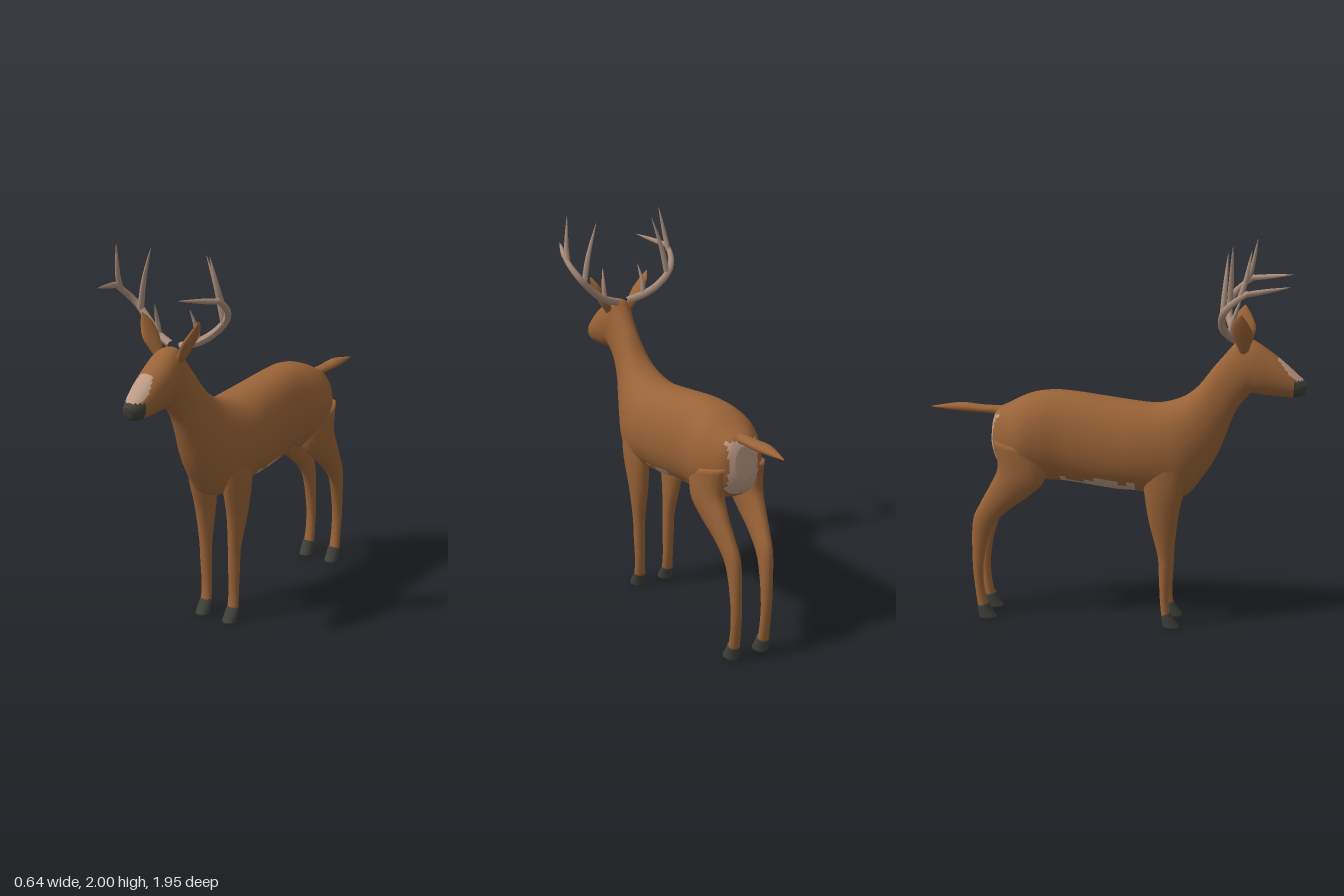
import * as THREE from 'three';

const mat = (name, color) => {
  const m = new THREE.MeshStandardMaterial({ color });
  m.name = name;
  return m;
};

// Catmull-Rom blend of four scalars
const blend = (a, b, c, d, t) =>
  b + 0.5 * t * (c - a + t * (2 * a - 5 * b + 4 * c - d + t * (3 * (b - c) + d - a)));

// Smooth skin through rings. Ring: [z1, y1, z2, y2, halfWidth, centreX],
// where 1 and 2 are opposite edges (top/bottom or front/back).
// pick(x, y, z) gives the material index of a face.
function loft(rings, { sides = 16, steps = 4, power = 1, pick = () => 0, count = 1 } = {}) {
  const rows = [];
  const ring = (i) => rings[Math.max(0, Math.min(rings.length - 1, i))];
  for (let i = 0; i < rings.length - 1; i++) {
    for (let k = 0; k < steps; k++) {
      rows.push(rings[0].map((_, c) =>
        blend(ring(i - 1)[c], ring(i)[c], ring(i + 1)[c], ring(i + 2)[c], k / steps)));
    }
  }
  rows.push(rings[rings.length - 1]);

  const pos = [];
  for (const [z1, y1, z2, y2, w, cx = 0] of rows) {
    for (let j = 0; j < sides; j++) {
      const a = (j / sides) * Math.PI * 2, s = Math.sin(a), c = Math.cos(a);
      const x = cx + w * Math.sign(s) * Math.pow(Math.abs(s), power);
      pos.push(x, (y1 + y2) / 2 + c * (y1 - y2) / 2, (z1 + z2) / 2 + c * (z1 - z2) / 2);
    }
  }
  const ends = [rows[0], rows[rows.length - 1]].map(([z1, y1, z2, y2, , cx = 0]) => {
    pos.push(cx, (y1 + y2) / 2, (z1 + z2) / 2);
    return pos.length / 3 - 1;
  });

  const faces = Array.from({ length: count }, () => []);
  const add = (...ids) => {
    const mid = [0, 1, 2].map((k) => ids.reduce((sum, id) => sum + pos[id * 3 + k], 0) / ids.length);
    const out = faces[pick(...mid)];
    out.push(ids[0], ids[1], ids[2]);
    if (ids.length === 4) out.push(ids[0], ids[2], ids[3]);
  };
  const last = (rows.length - 1) * sides;
  for (let j = 0; j < sides; j++) {
    const n = (j + 1) % sides;
    for (let i = 0; i < last; i += sides) add(i + j, i + sides + j, i + sides + n, i + n);
    add(ends[0], j, n);
    add(ends[1], last + n, last + j);
  }

  const geo = new THREE.BufferGeometry();
  geo.setAttribute('position', new THREE.Float32BufferAttribute(pos, 3));
  geo.setIndex(faces.flat());
  let start = 0;
  faces.forEach((f, i) => { geo.addGroup(start, f.length, i); start += f.length; });
  geo.computeVertexNormals();
  return geo;
}

// Round horn along a curve, tapering from r0 to r1
function horn(points, r0, r1) {
  const curve = new THREE.CatmullRomCurve3(points.map((p) => new THREE.Vector3(...p)));
  const segs = points.length > 2 ? 16 : 4, sides = 7;
  const geo = new THREE.TubeGeometry(curve, segs, 1, sides, false);
  const p = geo.attributes.position, v = new THREE.Vector3();
  for (let i = 0; i < p.count; i++) {
    const t = Math.floor(i / (sides + 1)) / segs;
    const c = curve.getPointAt(t);
    v.fromBufferAttribute(p, i).sub(c).multiplyScalar(r0 + (r1 - r0) * t * t).add(c);
    p.setXYZ(i, v.x, v.y, v.z);
  }
  geo.computeVertexNormals();
  return geo;
}

export function createModel() {
  const brown = mat('brown coat', 0x996337);
  const pale = mat('pale fur', 0xbb9a84);
  const dark = mat('dark hoof and nose', 0x3f403a);
  const bone = mat('antler bone', 0xa88c79);

  const model = new THREE.Group();
  const add = (name, geo, material, parent = model) => {
    const m = new THREE.Mesh(geo, material);
    m.name = name;
    parent.add(m);
  };

  // Trunk, neck and head, from rump to nose
  const coat = (x, y, z) => {
    if (z > 0.905 && y < 1.325) return 2;
    if (z > 0.8 && (x / 0.054) ** 2 + ((y - 1.36) / 0.08) ** 2 < 1) return 1;
    if (z < -0.595 && y < 1.11 && Math.abs(x) < 0.085) return 1;
    if (z > -0.26 && z < 0.115 && y < 0.795 - 0.02 * Math.sin(z * 25)) return 1;
    return 0;
  };
  add('body', loft([
    [-0.635, 1.08, -0.645, 0.92, 0.05],
    [-0.61, 1.13, -0.615, 0.85, 0.105],
    [-0.55, 1.16, -0.55, 0.80, 0.15],
    [-0.47, 1.20, -0.46, 0.78, 0.183],
    [-0.38, 1.225, -0.36, 0.76, 0.18],
    [-0.25, 1.23, -0.24, 0.755, 0.166],
    [0, 1.20, 0, 0.725, 0.178],
    [0.12, 1.185, 0.12, 0.72, 0.185],
    [0.22, 1.18, 0.24, 0.70, 0.178],
    [0.31, 1.20, 0.37, 0.70, 0.16],
    [0.38, 1.235, 0.45, 0.79, 0.13],
    [0.44, 1.29, 0.52, 0.90, 0.10],
    [0.50, 1.37, 0.57, 1.02, 0.077],
    [0.55, 1.43, 0.615, 1.14, 0.07],
    [0.60, 1.49, 0.66, 1.21, 0.074],
    [0.635, 1.525, 0.70, 1.25, 0.083],
    [0.70, 1.52, 0.74, 1.245, 0.09],
    [0.78, 1.47, 0.80, 1.24, 0.085],
    [0.86, 1.41, 0.87, 1.235, 0.073],
    [0.945, 1.335, 0.93, 1.235, 0.052],
    [0.98, 1.305, 0.965, 1.25, 0.025],
  ], { sides: 40, steps: 5, power: 0.85, pick: coat, count: 3 }), [brown, pale, dark]);

  // Tail, from tip to root
  add('tail', loft([
    [-0.97, 1.126, -0.97, 1.12, 0.003],
    [-0.82, 1.15, -0.82, 1.105, 0.037],
    [-0.70, 1.142, -0.70, 1.10, 0.036],
    [-0.57, 1.14, -0.57, 1.09, 0.034],
  ], { sides: 12 }), brown);

  for (const [side, s] of [['left', 1], ['right', -1]]) {
    const limb = (rings) => loft(rings.map((r) => [...r.slice(0, 5), s * r[5]]));

    // Front leg
    add(`${side} frontLeg`, limb([
      [0.39, 0.90, 0.15, 0.90, 0.06, 0.105],
      [0.368, 0.75, 0.165, 0.75, 0.057, 0.107],
      [0.328, 0.58, 0.19, 0.58, 0.045, 0.101],
      [0.308, 0.40, 0.235, 0.40, 0.033, 0.092],
      [0.303, 0.30, 0.243, 0.30, 0.032, 0.09],
      [0.297, 0.15, 0.25, 0.15, 0.029, 0.087],
      [0.305, 0.06, 0.258, 0.06, 0.032, 0.087],
    ]), brown);
    add(`${side} frontHoof`, limb([
      [0.298, 0.085, 0.257, 0.065, 0.034, 0.087],
      [0.325, 0.045, 0.26, 0.04, 0.037, 0.087],
      [0.355, 0.003, 0.266, 0, 0.039, 0.087],
    ]), dark);

    // Hind leg
    add(`${side} hindLeg`, limb([
      [-0.33, 0.93, -0.62, 0.98, 0.07, 0.105],
      [-0.35, 0.78, -0.598, 0.84, 0.065, 0.11],
      [-0.43, 0.69, -0.64, 0.74, 0.052, 0.108],
      [-0.55, 0.60, -0.695, 0.64, 0.041, 0.10],
      [-0.645, 0.49, -0.742, 0.53, 0.034, 0.092],
      [-0.69, 0.30, -0.748, 0.30, 0.029, 0.088],
      [-0.69, 0.16, -0.737, 0.16, 0.028, 0.086],
      [-0.67, 0.06, -0.725, 0.06, 0.031, 0.086],
    ]), brown);
    add(`${side} hindHoof`, limb([
      [-0.668, 0.085, -0.726, 0.065, 0.034, 0.086],
      [-0.65, 0.045, -0.724, 0.04, 0.037, 0.086],
      [-0.622, 0.003, -0.72, 0, 0.039, 0.086],
    ]), dark);

    // Ear, from tip to root
    add(`${side} ear`, limb([
      [0.652, 1.67, 0.645, 1.67, 0.003, 0.17],
      [0.685, 1.62, 0.61, 1.63, 0.014, 0.147],
      [0.708, 1.56, 0.60, 1.57, 0.022, 0.115],
      [0.69, 1.50, 0.62, 1.51, 0.025, 0.08],
      [0.68, 1.46, 0.64, 1.46, 0.02, 0.055],
    ]), brown);

    // Antler: curved beam ending in a forward point, plus three tines
    const antler = new THREE.Group();
    antler.name = `${side} antler`;
    model.add(antler);
    const at = (pts) => pts.map(([x, y, z]) => [s * x, y, z]);
    add('beam', horn(at([[0.03, 1.525, 0.61], [0.13, 1.56, 0.585], [0.20, 1.61, 0.562],
      [0.27, 1.685, 0.565], [0.303, 1.75, 0.62], [0.307, 1.80, 0.69]]), 0.021, 0.013), bone, antler);
    add('forwardTine', horn(at([[0.307, 1.79, 0.675], [0.235, 1.82, 0.885]]), 0.015, 0.001), bone, antler);
    add('outerTine', horn(at([[0.303, 1.765, 0.645], [0.297, 1.84, 0.67], [0.275, 1.995, 0.70]]), 0.014, 0.001), bone, antler);
    add('innerTine', horn(at([[0.25, 1.655, 0.562], [0.22, 1.80, 0.57], [0.165, 1.97, 0.58]]), 0.016, 0.001), bone, antler);
    add('browTine', horn(at([[0.115, 1.55, 0.59], [0.117, 1.62, 0.60], [0.105, 1.715, 0.632]]), 0.014, 0.001), bone, antler);
  }
  return model;
}
